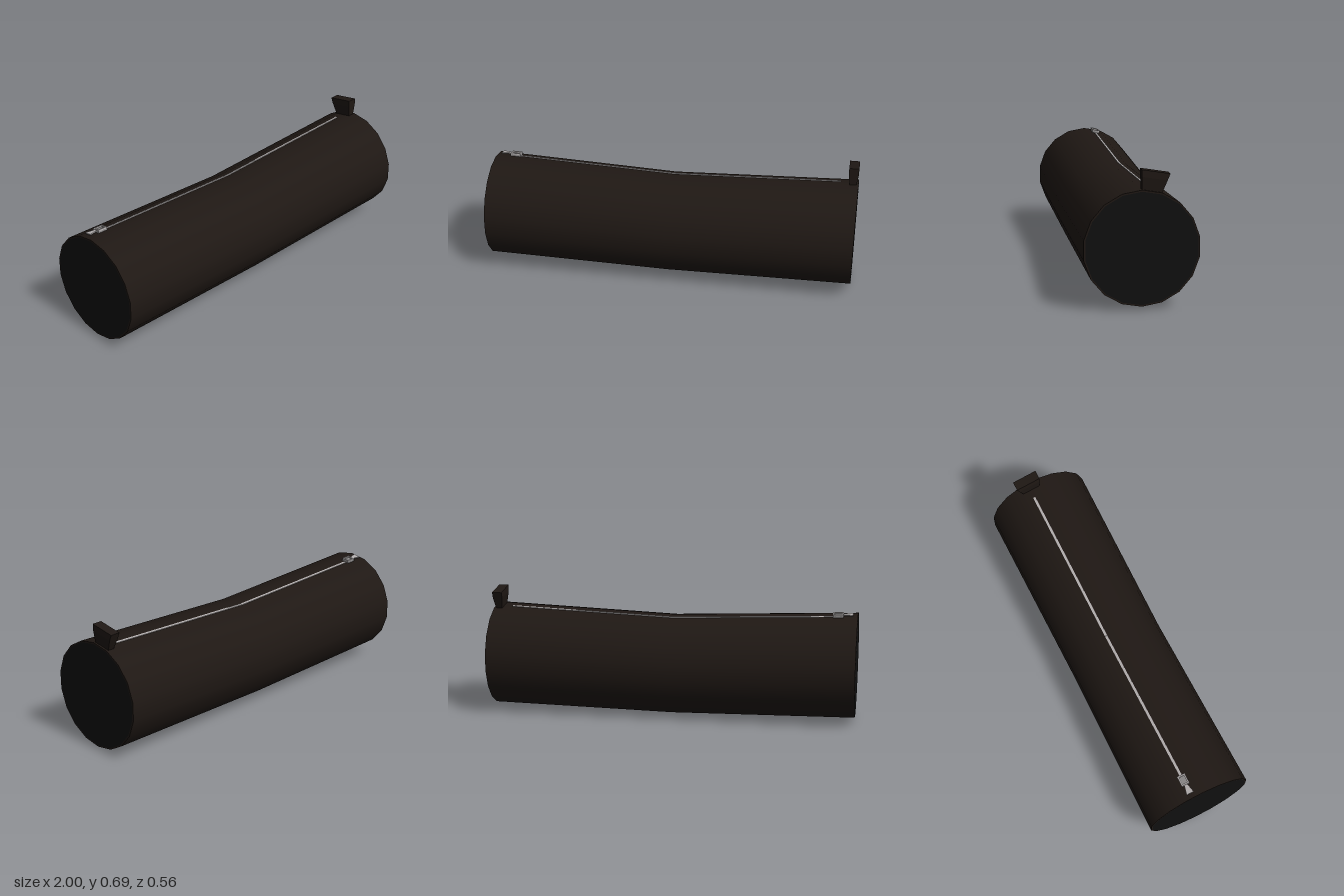
import * as THREE from 'three';

const mat = (color) => new THREE.MeshStandardMaterial({ color });
const SIDES = 18;
const END = { y: 0.305, r: 0.286 }; // ring at both ends
const MID = { y: 0.277, r: 0.275 }; // sagging ring in the middle

export function createModel() {
  const model = new THREE.Group();
  const fabric = mat(0x1f1814), lining = mat(0x101010);
  const metal = mat(0xb4b0b0), darkMetal = mat(0x8c8a8a);
  const add = (parent, name, geometry, material, x = 0, y = 0, z = 0) => {
    const mesh = new THREE.Mesh(geometry, material);
    mesh.name = name;
    mesh.position.set(x, y, z);
    parent.add(mesh);
    return mesh;
  };

  // Tube body, lying along x, with the middle ring smaller and lower
  const tube = new THREE.CylinderGeometry(1, 1, 2, SIDES, 2, false, Math.PI / 2);
  tube.rotateZ(-Math.PI / 2);
  const p = tube.attributes.position;
  for (let i = 0; i < p.count; i++) {
    const ring = Math.abs(p.getX(i)) < 0.5 ? MID : END;
    p.setY(i, ring.y + p.getY(i) * ring.r);
    p.setZ(i, p.getZ(i) * ring.r);
  }
  add(model, 'body', tube, fabric);

  // Dark end panels inside the fabric rim
  for (const side of [-1, 1]) {
    const disc = new THREE.CircleGeometry(0.278, SIDES, Math.PI / 2);
    disc.rotateY(side * Math.PI / 2);
    add(model, 'endPanel', disc, lining, side * 1.001, END.y, 0);
  }

  // Zip teeth: one thin strip per half, following the sag
  const zipZ = -0.054, zipMidY = 0.543, slope = 0.038;
  for (const [side, length] of [[-1, 0.88], [1, 0.905]]) {
    const strip = new THREE.BoxGeometry(length, 0.006, 0.013);
    strip.rotateX(-Math.PI / 18);
    const teeth = add(model, 'zipTeeth', strip, metal,
      side * length / 2, zipMidY + slope * length / 2, zipZ);
    teeth.rotation.z = side * Math.atan(slope);
  }

  // Zip slider: a small frame with a flared pull
  const slider = new THREE.Group();
  slider.name = 'zipSlider';
  slider.position.set(-0.897, 0.58, zipZ);
  slider.rotation.set(-Math.PI / 18, 0, -Math.atan(slope));
  model.add(slider);
  add(slider, 'sliderBase', new THREE.BoxGeometry(0.056, 0.01, 0.044), darkMetal, 0, 0.004, 0);
  for (const s of [-1, 1]) {
    add(slider, 'sliderRail', new THREE.BoxGeometry(0.056, 0.008, 0.008), metal, 0, 0.012, s * 0.018);
    add(slider, 'sliderBar', new THREE.BoxGeometry(0.008, 0.008, 0.044), metal, s * 0.024, 0.012, 0);
  }
  const pullShape = new THREE.Shape();
  [[-0.078, -0.02], [-0.028, -0.009], [-0.028, 0.009], [-0.078, 0.02]].forEach(([x, z], i) =>
    i ? pullShape.lineTo(x, z) : pullShape.moveTo(x, z));
  const pull = new THREE.ExtrudeGeometry(pullShape, { depth: 0.006, bevelEnabled: false });
  pull.rotateX(-Math.PI / 2);
  add(slider, 'zipPull', pull, metal, 0, 0.006, 0);

  // Fabric tab: a block flared towards the top, narrow where it is sewn on
  const tab = new THREE.BoxGeometry(1, 1, 1, 1, 3, 1);
  const t = tab.attributes.position;
  for (let i = 0; i < t.count; i++) {
    const v = t.getY(i) + 0.5, back = t.getZ(i) < 0;
    const width = 0.034 + 0.019 * Math.min(1, v * 1.5);
    t.setXYZ(i, 0.971 + t.getX(i) * width,
      back ? 0.570 + 0.095 * v : 0.585 + 0.103 * v,
      back ? -0.096 - 0.038 * v : 0.003 * v);
  }
  const flatTab = tab.toNonIndexed();
  flatTab.computeVertexNormals();
  add(model, 'tab', flatTab, fabric);

  return model;
}
